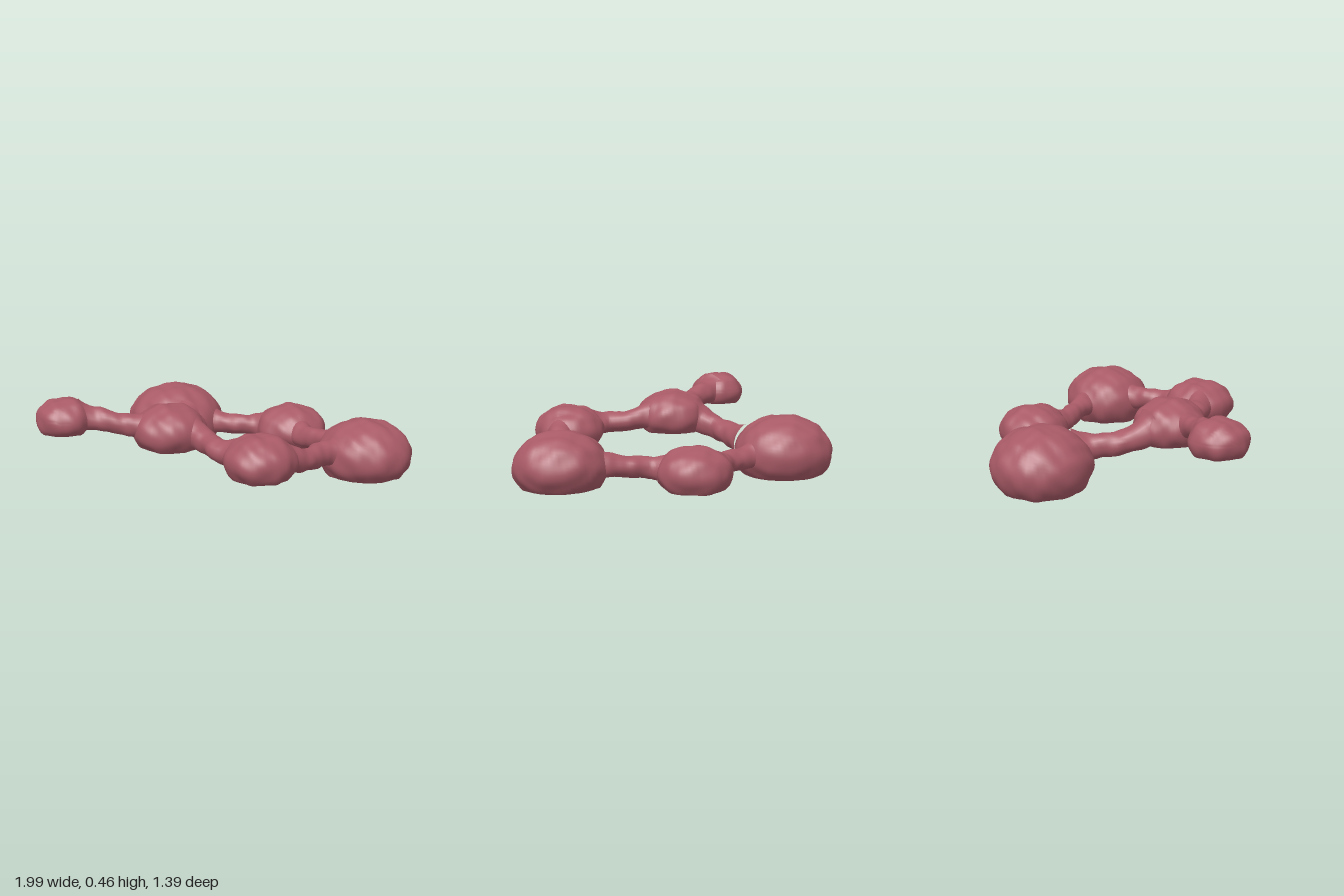
import * as THREE from 'three';
import { mergeVertices, toCreasedNormals } from 'three/addons/utils/BufferGeometryUtils.js';

const clay = new THREE.MeshStandardMaterial({ color: 0xa85a66 });
clay.name = 'dusty rose';

// Gentle hand-modelled lumps, depending only on position so seams stay closed.
const lump = (p) =>
  0.005 * Math.sin(31 * p.x + 9 * p.y + 2) * Math.sin(27 * p.z + 13 * p.y) +
  0.004 * Math.sin(47 * p.z - 21 * p.x + 1) * Math.sin(39 * p.y + 17 * p.x) +
  0.002 * Math.sin(71 * p.x + 1) * Math.sin(66 * p.z);

// Move every vertex by a rule, weld seams and shade smoothly with crisp floor edges.
function sculpt(geometry, rule) {
  const pos = geometry.attributes.position;
  const p = new THREE.Vector3();
  for (let i = 0; i < pos.count; i++) {
    p.fromBufferAttribute(pos, i);
    rule(p, i);
    pos.setXYZ(i, p.x, p.y, p.z);
  }
  geometry.deleteAttribute('normal');
  geometry.deleteAttribute('uv');
  return toCreasedNormals(mergeVertices(geometry, 1e-4), 0.65);
}

// Rounded node with a flat underside.
function makeNode({ name, x, z, rx, rz, floor, top }) {
  const height = top - floor;
  const ry = height * 0.62, cy = top - ry;
  const geometry = sculpt(new THREE.SphereGeometry(1, 56, 40), (p) => {
    const n = p.clone();
    p.set(x + n.x * rx, cy + n.y * ry, z + n.z * rz);
    p.addScaledVector(n, lump(p));
    p.y = Math.max(p.y, floor);
  });
  const mesh = new THREE.Mesh(geometry, clay);
  mesh.name = name;
  return mesh;
}

// Link whose ends flare out into the nodes; its underside is slightly flattened.
function makeLink({ name, path, r }) {
  const curve = new THREE.CatmullRomCurve3(path.map((a) => new THREE.Vector3(...a)));
  const steps = 40, sides = 24;
  const geometry = sculpt(new THREE.TubeGeometry(curve, steps, r, sides), (p, i) => {
    const t = Math.floor(i / (sides + 1)) / steps;
    const c = curve.getPointAt(t);
    const n = p.clone().sub(c);
    const flare = 1 + 0.75 * Math.pow(Math.abs(2 * t - 1), 3);
    p.copy(c).addScaledVector(n, flare);
    p.addScaledVector(n.normalize(), lump(p));
    p.y = Math.max(p.y, c.y - r * 0.95);
  });
  const mesh = new THREE.Mesh(geometry, clay);
  mesh.name = name;
  return mesh;
}

const nodes = [
  { name: 'backRightNode', x: -0.585, z: -0.395, rx: 0.287, rz: 0.275, floor: 0.005, top: 0.345 },
  { name: 'backNode', x: 0.135, z: -0.49, rx: 0.212, rz: 0.2, floor: 0.03, top: 0.265 },
  { name: 'leftNode', x: 0.725, z: -0.07, rx: 0.265, rz: 0.247, floor: 0.045, top: 0.35 },
  { name: 'frontLeftNode', x: 0.31, z: 0.485, rx: 0.2, rz: 0.203, floor: 0.147, top: 0.375 },
  { name: 'frontRightNode', x: -0.305, z: 0.295, rx: 0.212, rz: 0.203, floor: 0.19, top: 0.428 },
  { name: 'endNode', x: -0.843, z: 0.527, rx: 0.157, rz: 0.16, floor: 0.28, top: 0.468 },
];

const links = [
  { name: 'backLink', r: 0.06,
    path: [[-0.38, 0.14, -0.4], [-0.21, 0.13, -0.41], [-0.12, 0.13, -0.435], [0.02, 0.13, -0.47]] },
  { name: 'backLeftLink', r: 0.06,
    path: [[0.2, 0.13, -0.42], [0.3, 0.135, -0.315], [0.42, 0.15, -0.26], [0.6, 0.17, -0.17]] },
  { name: 'frontLeftLink', r: 0.062,
    path: [[0.62, 0.19, 0.04], [0.54, 0.2, 0.17], [0.5, 0.205, 0.3], [0.4, 0.235, 0.42]] },
  { name: 'frontLink', r: 0.062,
    path: [[0.21, 0.25, 0.48], [0.07, 0.25, 0.46], [-0.02, 0.26, 0.385], [-0.19, 0.29, 0.3]] },
  { name: 'endLink', r: 0.06,
    path: [[-0.38, 0.3, 0.34], [-0.52, 0.325, 0.42], [-0.64, 0.345, 0.455], [-0.78, 0.36, 0.5]] },
  { name: 'rightLink', r: 0.066,
    path: [[-0.38, 0.28, 0.2], [-0.45, 0.225, 0.06], [-0.45, 0.205, -0.06], [-0.46, 0.18, -0.23]] },
];

export function createModel() {
  const model = new THREE.Group();
  model.name = 'linkedBlobs';
  nodes.forEach((n) => model.add(makeNode(n)));
  links.forEach((l) => model.add(makeLink(l)));
  return model;
}
